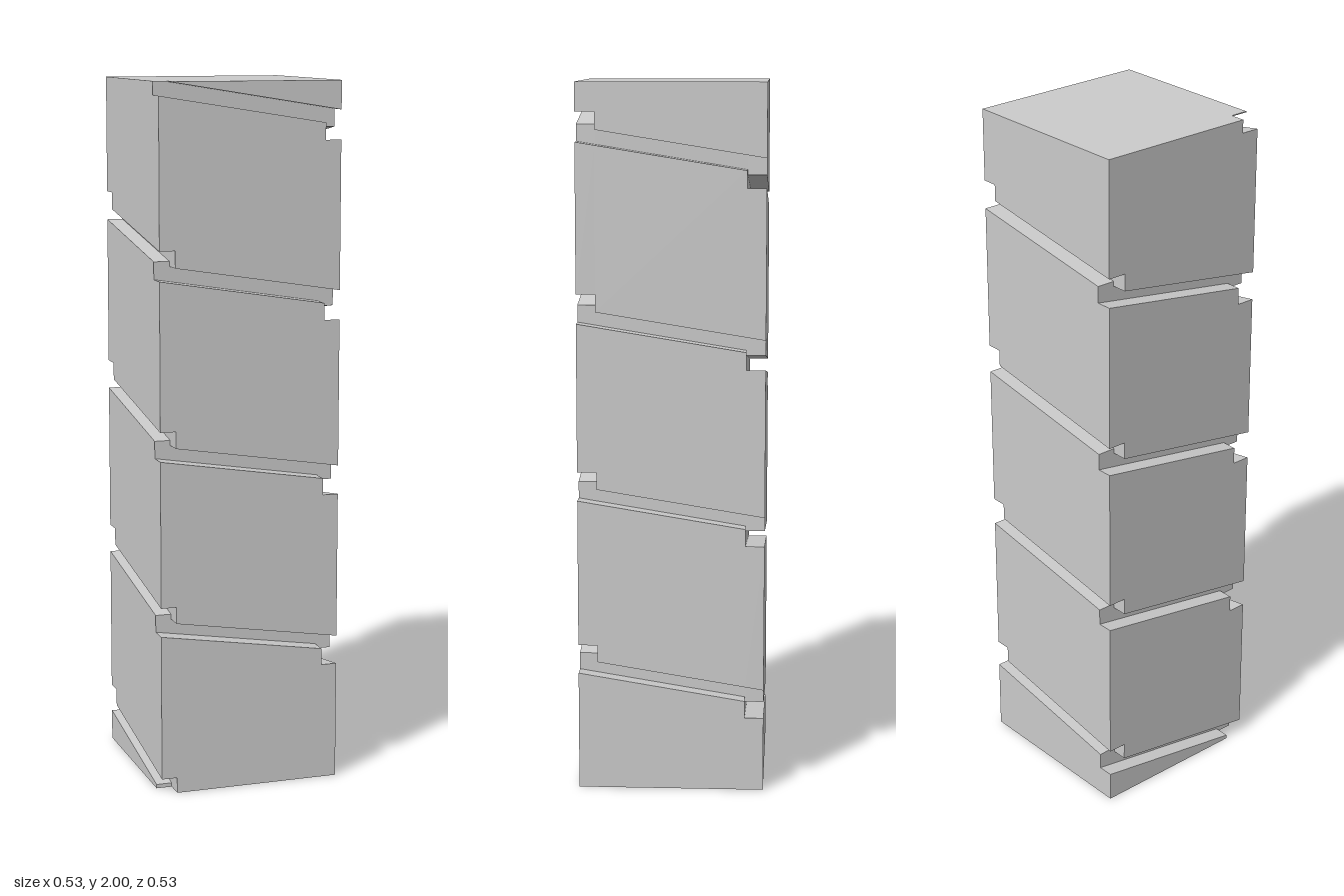
import * as THREE from 'three';

const HALF = 0.263, HEIGHT = 2;      // half width and height of the post
const DX = 0.045, DZ = 0.054;        // groove depth on the x and z faces
const INX = HALF - DX, INZ = HALF - DZ;
const SLOT = 0.042, SLOPE = 0.161;   // groove height and climb
const LAST = 15;                     // four turns of four sides: 0..15

// Sides in climbing order: left, back, right, front (t runs uphill)
const along = [(x, z) => -z, (x, z) => x, (x, z) => z, (x, z) => -x];
const sideNames = ['left', 'back', 'right', 'front'];

// Floor of groove n at a point, limited to the ends of the post
function grooveFloor(n, x, z, lift = 0) {
  if (n < 0) return 0;
  if (n > LAST) return HEIGHT;
  const y = 0.045 + 0.125 * n + SLOPE * along[n % 4](x, z) + lift;
  return Math.min(HEIGHT, Math.max(0, y));
}
const grooveCeiling = (n, x, z) => grooveFloor(n, x, z, SLOT);

export function createModel() {
  const group = new THREE.Group();
  const material = new THREE.MeshStandardMaterial({ color: 0xcccccc, flatShading: true });

  // Box over an x/z range with its ends cut along two sloping surfaces
  function block(name, [x0, x1], [z0, z1], lower, upper) {
    const geo = new THREE.BoxGeometry(x1 - x0, 1, z1 - z0);
    geo.translate((x0 + x1) / 2, 0, (z0 + z1) / 2);
    const p = geo.attributes.position;
    for (let i = 0; i < p.count; i++) {
      const cut = p.getY(i) < 0 ? lower : upper;
      p.setY(i, cut(p.getX(i), p.getZ(i)));
    }
    geo.computeVertexNormals();
    const mesh = new THREE.Mesh(geo, material);
    mesh.name = name;
    group.add(mesh);
  }

  // Solid centre, which forms the back wall of every groove
  block('core', [-INX, INX], [-INZ, INZ], () => 0, () => HEIGHT);

  // Face panels between the grooves, and the corners that join them
  const midX = [-INX, INX], midZ = [-INZ, INZ];
  const lowX = [-HALF, -INX], highX = [INX, HALF];
  const lowZ = [-HALF, -INZ], highZ = [INZ, HALF];
  const panels = [[lowX, midZ], [midX, lowZ], [highX, midZ], [midX, highZ]];
  const corners = [[lowX, lowZ], [highX, lowZ], [highX, highZ], [lowX, highZ]];

  for (let n = 0; n <= LAST + 4; n++) {
    const s = n % 4;
    const upper = (x, z) => grooveFloor(n, x, z);
    block(sideNames[s] + 'Panel', ...panels[s], (x, z) => grooveCeiling(n - 4, x, z), upper);
    // At a corner the next side's groove lies just above this one
    if (n < LAST + 4) {
      block(sideNames[s] + 'Corner', ...corners[s], (x, z) => grooveCeiling(n - 3, x, z), upper);
    }
  }
  return group;
}
